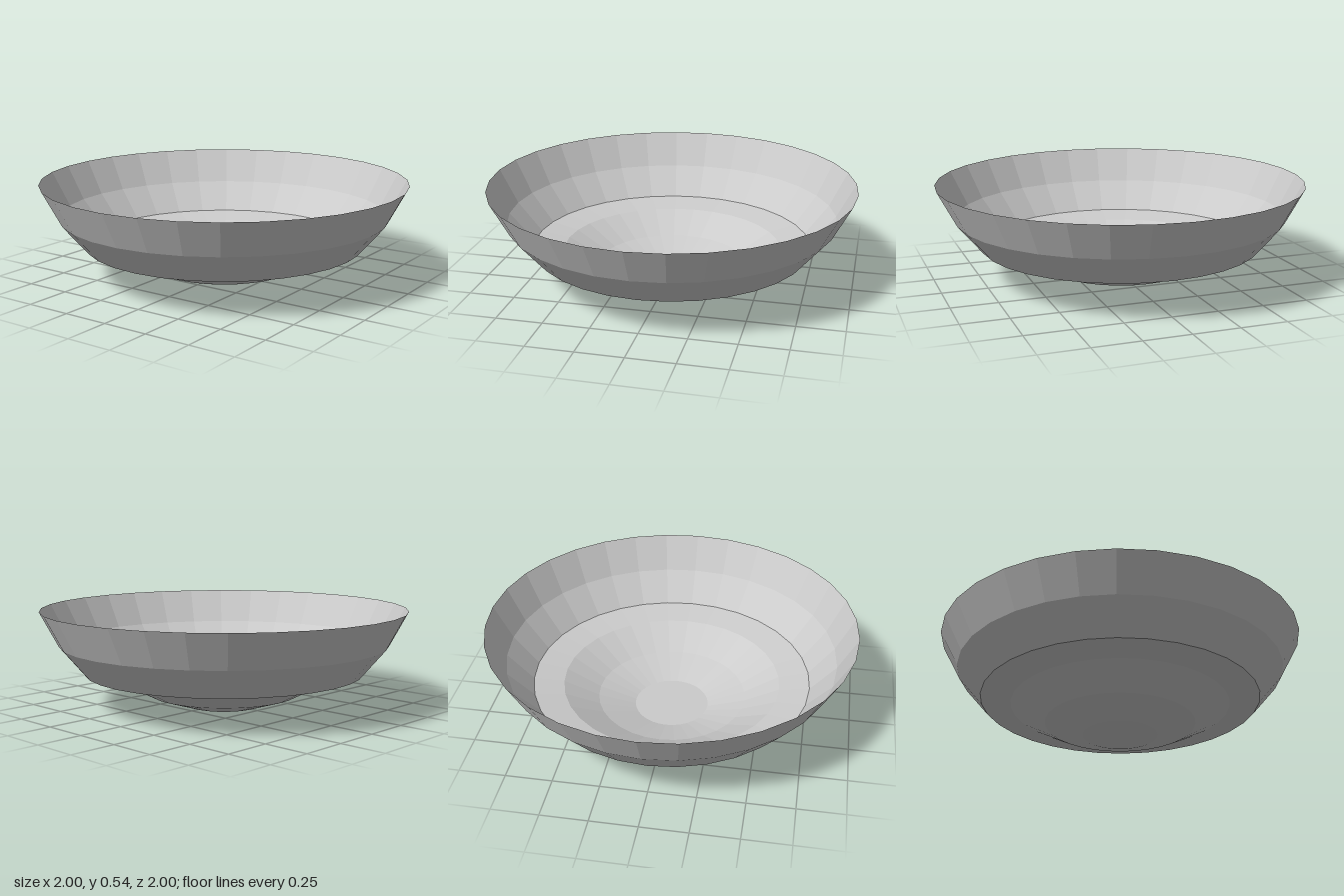
import * as THREE from 'three';

const SIDES = 32;

export function createModel() {
  const group = new THREE.Group();
  group.name = 'bowl';
  const material = new THREE.MeshStandardMaterial({
    color: 0xcccccc, flatShading: true, side: THREE.DoubleSide,
  });

  // Revolve a [radius, height] profile into one faceted band of the thin shell
  const addBand = (name, profile) => {
    const points = profile.map(([r, y]) => new THREE.Vector2(r, y));
    const mesh = new THREE.Mesh(new THREE.LatheGeometry(points, SIDES), material);
    mesh.name = name;
    group.add(mesh);
  };

  // Shallow dish with a flat foot
  addBand('lowerDish', [[0, 0], [0.205, 0], [0.41, 0.065], [0.6, 0.165]]);
  // Nearly level step between dish and wall
  addBand('shelf', [[0.6, 0.165], [0.765, 0.19]]);
  // Flared wall up to the rim
  addBand('upperWall', [[0.765, 0.19], [0.9, 0.35], [1, 0.54]]);

  return group;
}
